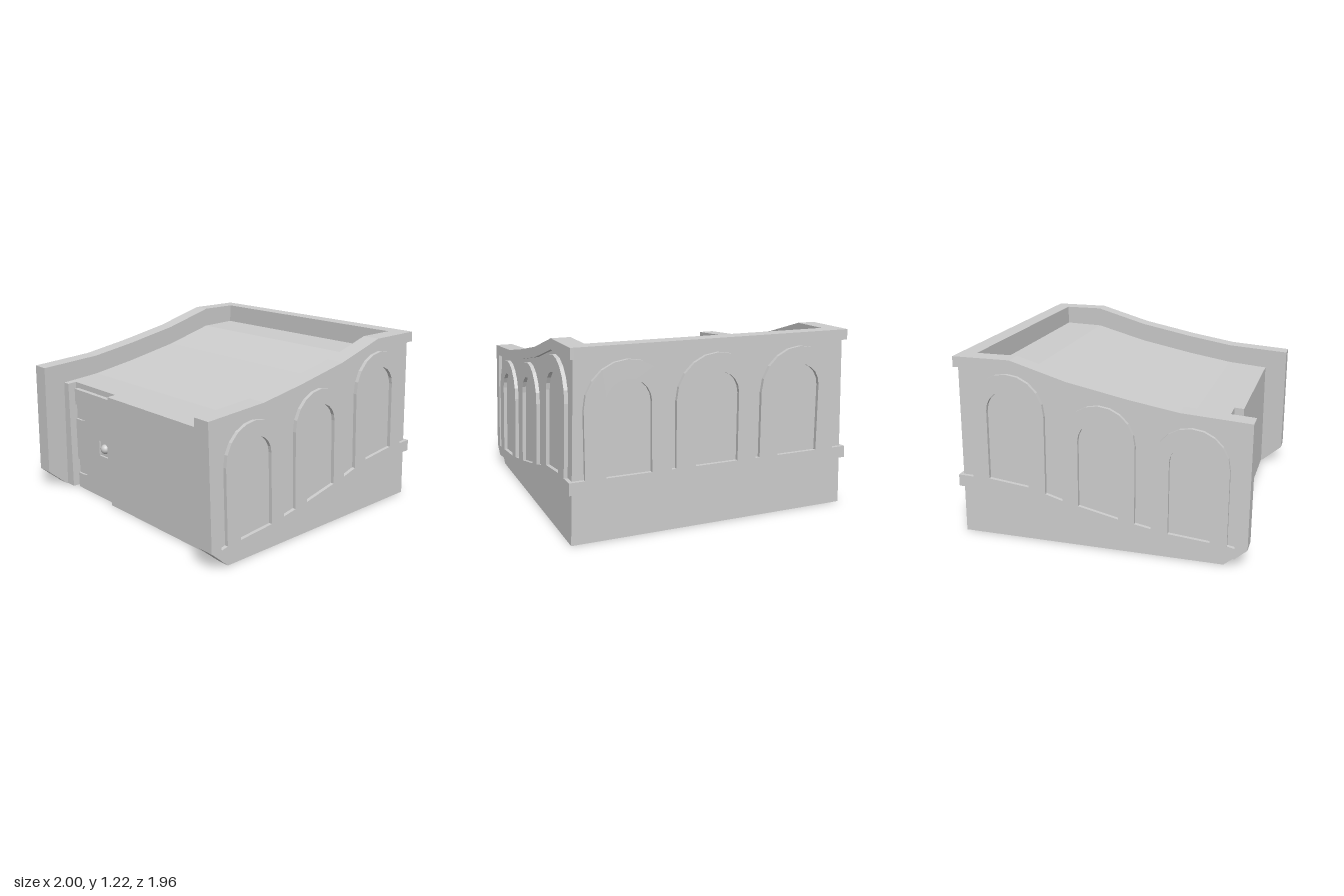
import * as THREE from 'three';

const mat = new THREE.MeshStandardMaterial({ color: 0xcccccc });
const LEAN = 0.034; // inward lean of the side walls per unit of height

// Side curves as [z, y], front to back
const RIM = [[0.98, 0.945], [0.53, 0.975], [0.2, 1.03], [-0.2, 1.11], [-0.58, 1.22], [-0.975, 1.22]];
const LEDGE = [[0.9, 0.06], [0.5, 0.09], [0.15, 0.15], [-0.25, 0.235], [-0.58, 0.33], [-0.975, 0.33]];
const ROOF = [[0.755, 0.815], [0.53, 0.835], [0.2, 0.89], [-0.2, 0.97], [-0.58, 1.075], [-0.9, 1.085]];

function heightAt(curve, z) {
  for (let i = 1; i < curve.length; i++) {
    const [z0, y0] = curve[i - 1], [z1, y1] = curve[i];
    if (z >= z1) return y0 + (y1 - y0) * (z0 - z) / (z0 - z1);
  }
  return curve[curve.length - 1][1];
}

const toShape = (pts) => new THREE.Shape(pts.map(([a, b]) => new THREE.Vector2(a, b)));
const toPath = (pts) => new THREE.Path(pts.map(([a, b]) => new THREE.Vector2(a, b)));
const extrude = (shape, depth) =>
  new THREE.ExtrudeGeometry(shape, { depth, bevelEnabled: false, steps: 1 });

function add(parent, name, geometry) {
  const mesh = new THREE.Mesh(geometry, mat);
  mesh.name = name;
  parent.add(mesh);
  return mesh;
}

// Extrude a (z, y) shape along x from x0; side mirrors it, lean shears it inward with height
function sideways(shape, x0, depth, side, lean) {
  let g = extrude(shape, depth);
  g = g.index ? g.toNonIndexed() : g;
  g.applyMatrix4(new THREE.Matrix4().set(
    0, -lean * side, side, side * x0,
    0, 1, 0, 0,
    1, 0, 0, 0,
    0, 0, 0, 1));
  if (side > 0) { // mirrored mapping: restore the winding
    const p = g.attributes.position;
    const a = new THREE.Vector3(), b = new THREE.Vector3();
    for (let i = 0; i < p.count; i += 3) {
      a.fromBufferAttribute(p, i + 1);
      b.fromBufferAttribute(p, i + 2);
      p.setXYZ(i + 1, b.x, b.y, b.z);
      p.setXYZ(i + 2, a.x, a.y, a.z);
    }
  }
  g.computeVertexNormals();
  return g;
}

// Round arch outline from its + foot over the apex to its - foot
function arch(c, half, apex, sill) {
  const pts = [[c + half, sill(c + half)]];
  for (let i = 0; i <= 10; i++) {
    const t = Math.PI * i / 10;
    pts.push([c + half * Math.cos(t), apex - half + half * Math.sin(t)]);
  }
  pts.push([c - half, sill(c - half)]);
  return pts;
}

function sideWall(side) {
  const wall = new THREE.Group();
  wall.name = side > 0 ? 'leftWall' : 'rightWall';
  const core = toShape([[0.83, 0], [0.98, 0.13], ...RIM.slice(0, -1), [-0.95, 1.22], [-0.95, 0]]);
  add(wall, 'wallCore', sideways(core, 0.875, 0.1, side, LEAN));

  // Raised trim: ledge, arches, front post and rim in one piece, with window recesses
  const sill = (z) => heightAt(LEDGE, z) + 0.077;
  const arches = [[0.605, 0.245, 0.88, 0.135, 0.78], [0.007, 0.243, 0.97, 0.135, 0.865],
    [-0.612, 0.257, 1.125, 0.14, 1.015]];
  const outline = [...LEDGE, [-0.975, 0.41]];
  for (const [c, half, apex] of [...arches].reverse()) {
    outline.push(...arch(c, half, apex, sill).reverse());
  }
  outline.push([0.9, 0.13], [0.9, heightAt(RIM, 0.9) - 0.075],
    ...RIM.slice(1).map(([z, y]) => [z, y - 0.07]),
    ...[...RIM].reverse(), [0.98, 0.13]);
  const trim = toShape(outline);
  for (const [c, , , half, apex] of arches) trim.holes.push(toPath(arch(c, half, apex, sill)));
  add(wall, 'wallTrim', sideways(trim, 0.975, 0.025, side, LEAN));
  return wall;
}

function backWall() {
  const wall = new THREE.Group();
  wall.name = 'backWall';
  const edge = (y) => 0.975 - LEAN * y;
  const core = add(wall, 'wallCore', extrude(
    toShape([[-0.92, 0], [0.92, 0], [0.92, 1.22], [-0.92, 1.22]]), 0.09));
  core.position.z = -0.95;

  const sill = () => 0.41;
  const centres = [-0.6, 0, 0.6];
  const ledge = [[edge(0.33), 0.33], [edge(0.41), 0.41]];
  for (const c of [...centres].reverse()) ledge.push(...arch(c, 0.285, 1.13, sill));
  ledge.push([-edge(0.41), 0.41], [-edge(0.33), 0.33]);
  const arcade = toShape(ledge);
  for (const c of centres) arcade.holes.push(toPath(arch(c, 0.15, 1.01, sill)));
  add(wall, 'arcadeTrim', extrude(arcade, 0.025)).position.z = -0.975;

  const rim = toShape([[-edge(1.15), 1.15], [edge(1.15), 1.15], [edge(1.22), 1.22], [-edge(1.22), 1.22]]);
  add(wall, 'rimTrim', extrude(rim, 0.025)).position.z = -0.975;
  return wall;
}

function door() {
  const group = new THREE.Group();
  group.name = 'door';
  const left = -0.755, right = -0.315, top = 0.775;
  const back = add(group, 'doorBacking', new THREE.BoxGeometry(right - left, top, 0.02));
  back.position.set((left + right) / 2, top / 2, 0.765);

  // Door face with two sunk hinge straps and a sunk square around the knob
  const outline = [[left, 0], [right, 0], [right, top], [left, top]];
  for (const y of [0.6, 0.17]) {
    outline.push([left, y + 0.055]);
    for (let i = 0; i <= 8; i++) {
      const t = Math.PI * (0.5 - i / 8);
      outline.push([-0.685 + 0.085 * Math.cos(t), y + 0.055 * Math.sin(t)]);
    }
    outline.push([left, y - 0.055]);
  }
  const face = toShape(outline);
  face.holes.push(toPath([[-0.455, 0.33], [-0.35, 0.33], [-0.35, 0.442], [-0.455, 0.442]]));
  add(group, 'doorFace', extrude(face, 0.015)).position.z = 0.775;
  add(group, 'doorKnob', new THREE.SphereGeometry(0.036, 20, 14)).position.set(-0.402, 0.387, 0.772);
  return group;
}

export function createModel() {
  const model = new THREE.Group();
  model.name = 'arcadedBuilding';

  // Main block with the curved roof, then front slabs either side of the door recess
  add(model, 'body', sideways(toShape([[0.755, 0], ...ROOF, [-0.9, 0]]), -0.88, 1.76, 1, 0));
  const slab = toShape([[0.82, 0], [0.82, 0.81], [0.755, 0.815], [0.755, 0]]);
  add(model, 'frontSlab', sideways(slab, -0.28, 1.16, 1, 0));
  add(model, 'doorPost', sideways(slab, -0.88, 0.09, 1, 0));

  model.add(sideWall(1), sideWall(-1), backWall(), door());
  return model;
}
